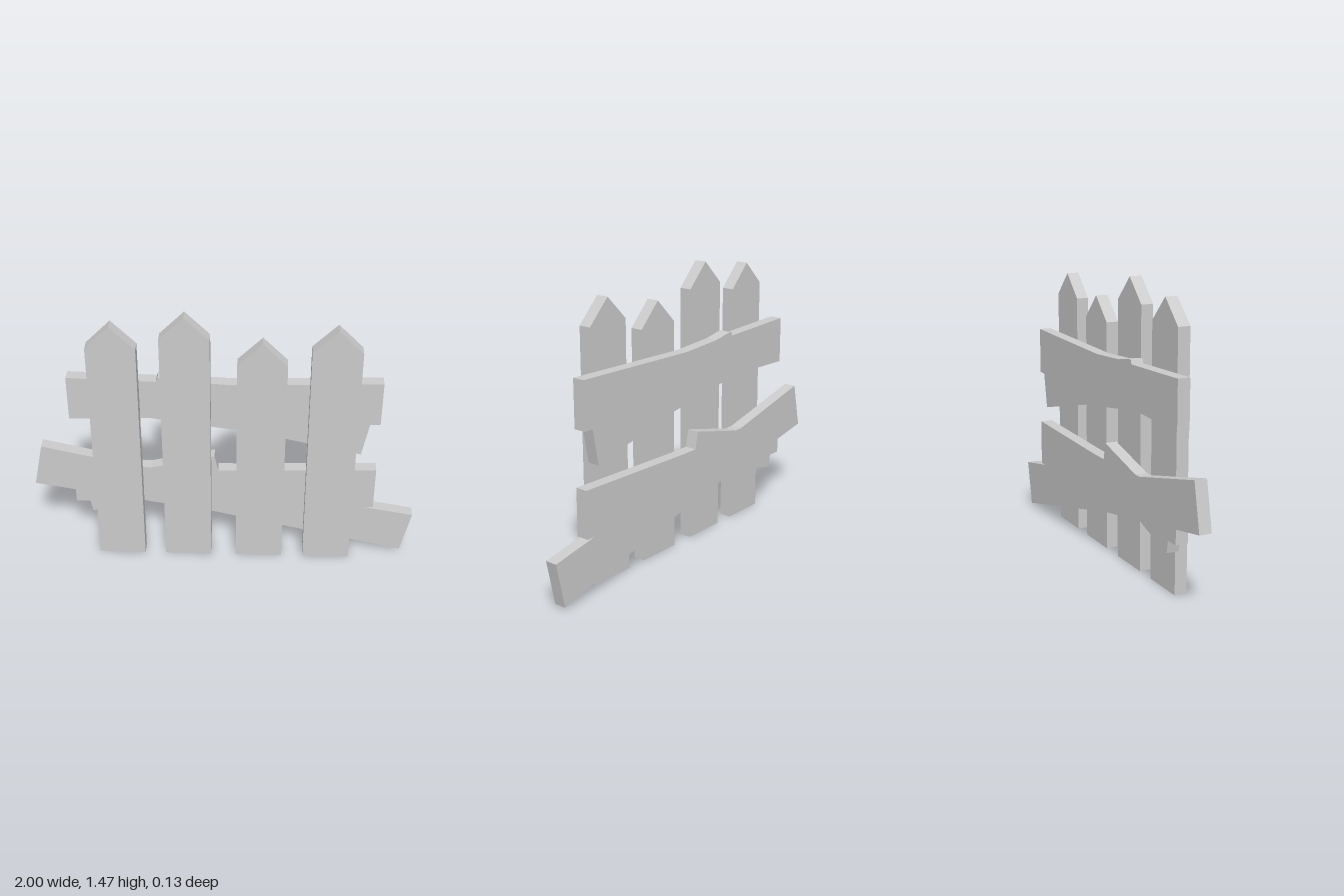
import * as THREE from 'three';

const DEPTH = 0.064;

// Flat board cut from an outline, its back face at z
function board(name, points, z) {
  const shape = new THREE.Shape(points.map(([x, y]) => new THREE.Vector2(x, y)));
  const geometry = new THREE.ExtrudeGeometry(shape, { depth: DEPTH, bevelEnabled: false });
  geometry.translate(0, 0, z);
  const material = new THREE.MeshStandardMaterial({ color: 0xcccccc, flatShading: true });
  const mesh = new THREE.Mesh(geometry, material);
  mesh.name = name;
  return mesh;
}

export function createModel() {
  const fence = new THREE.Group();
  fence.name = 'fence';

  // Pointed pickets: centre x, shoulder height
  const w = 0.123, tip = 0.123;
  [[-0.55, 1.285], [-0.192, 1.342], [0.186, 1.206], [0.546, 1.285]].forEach(([x, h], i) => {
    fence.add(board(`picket${i + 1}`, [
      [x - w, 0], [x + w, 0], [x + w, h], [x, h + tip], [x - w, h],
    ], 0));
  });

  // Upper rail with a chipped top edge and a broken right end
  fence.add(board('upperRail', [
    [-0.79, 1.075], [-0.79, 0.83], [-0.385, 0.845], [0.18, 0.762], [0.70, 0.643],
    [0.735, 0.83], [0.787, 0.83], [0.787, 1.075], [0.04, 1.052], [-0.2, 1.065],
    [-0.318, 1.085], [-0.332, 1.083], [-0.34, 1.063],
  ], -DEPTH));

  // Lower rail: a level board and a slanted board joined in one splintered outline
  fence.add(board('lowerRail', [
    [-0.95, 0.65], [-1, 0.41], [-0.79, 0.373], [-0.79, 0.297], [-0.717, 0.297],
    [-0.705, 0.232], [-0.67, 0.238], [-0.43, 0.31], [-0.05, 0.243], [0.95, 0.01],
    [1, 0.248], [0.735, 0.297], [0.787, 0.297], [0.787, 0.543], [0.06, 0.52],
    [-0.033, 0.52], [-0.052, 0.61], [-0.38, 0.53], [-0.43, 0.53],
  ], -DEPTH));

  return fence;
}
